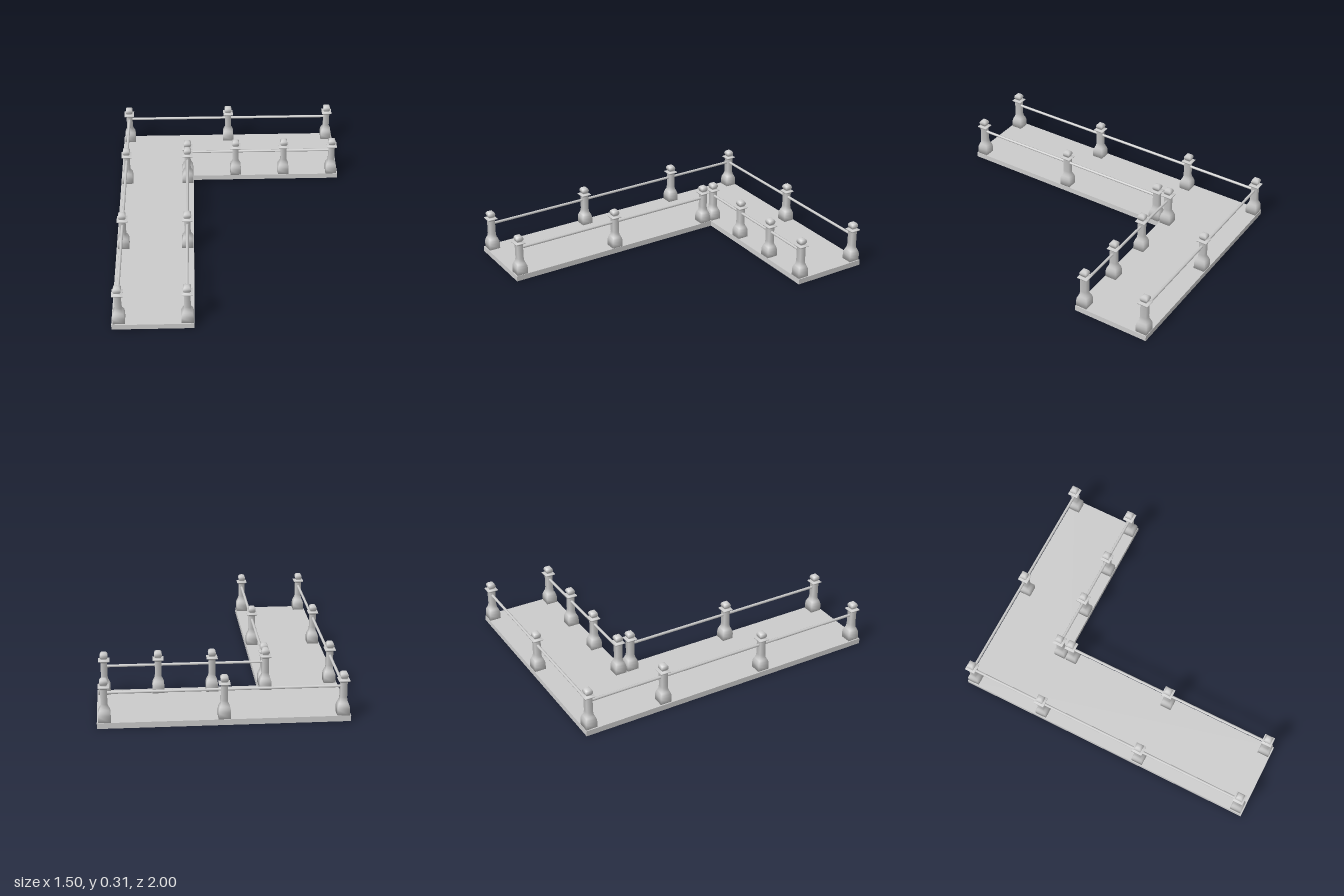
import * as THREE from 'three';

const material = new THREE.MeshStandardMaterial({ color: 0xcccccc, side: THREE.DoubleSide });
const DECK = 0.036;

// Four-sided turned baluster: [half width, height]
function postGeometry() {
  const profile = [
    [0, 0.034], [0.037, 0.034], [0.037, 0.075], [0.035, 0.092], [0.029, 0.109],
    [0.022, 0.124], [0.02, 0.145], [0.02, 0.235], [0.022, 0.244], [0.034, 0.249],
    [0.034, 0.254], [0.014, 0.256],
  ];
  // Ball finial
  for (let i = 1; i <= 8; i++) {
    const a = -Math.PI / 2 + 0.6 + (i / 8) * (Math.PI - 0.6);
    profile.push([Math.max(0, 0.024 * Math.cos(a)), 0.281 + 0.025 * Math.sin(a)]);
  }
  const points = profile.map(([r, y]) => new THREE.Vector2(r * Math.SQRT2, y));
  return new THREE.LatheGeometry(points, 4, Math.PI / 4);
}

export function createModel() {
  const model = new THREE.Group();
  const add = (name, geometry) => {
    const mesh = new THREE.Mesh(geometry, material);
    mesh.name = name;
    model.add(mesh);
    return mesh;
  };

  // L-shaped deck
  const outline = [[-0.75, -1], [-0.25, -1], [-0.25, 0.5], [0.75, 0.5], [0.75, 1], [-0.75, 1]];
  const shape = new THREE.Shape(outline.map(([x, y]) => new THREE.Vector2(x, y)));
  const deck = new THREE.ExtrudeGeometry(shape, { depth: DECK, bevelEnabled: false });
  deck.rotateX(-Math.PI / 2);
  add('deck', deck);

  // Posts
  const post = postGeometry();
  const places = [];
  for (const x of [-0.705, 0, 0.705]) places.push([x, -0.96]);
  for (let i = 0; i < 4; i++) places.push([-0.29 + i * 0.3317, -0.54]);
  for (const x of [-0.705, -0.29])
    for (const z of [-0.455, 0.25, 0.955]) places.push([x, z]);
  for (const [x, z] of places) add('post', post).position.set(x, 0, z);

  // Rails between the end posts
  const rails = [
    [-0.705, -0.96, 0.705, -0.96], [-0.705, -0.96, -0.705, 0.955],
    [-0.29, -0.455, -0.29, 0.955], [-0.29, -0.54, 0.705, -0.54],
  ];
  for (const [x1, z1, x2, z2] of rails) {
    const length = Math.hypot(x2 - x1, z2 - z1);
    const rail = new THREE.CylinderGeometry(0.009, 0.009, length, 8);
    if (x1 === x2) rail.rotateX(Math.PI / 2);
    else rail.rotateZ(Math.PI / 2);
    add('rail', rail).position.set((x1 + x2) / 2, 0.212, (z1 + z2) / 2);
  }
  return model;
}
